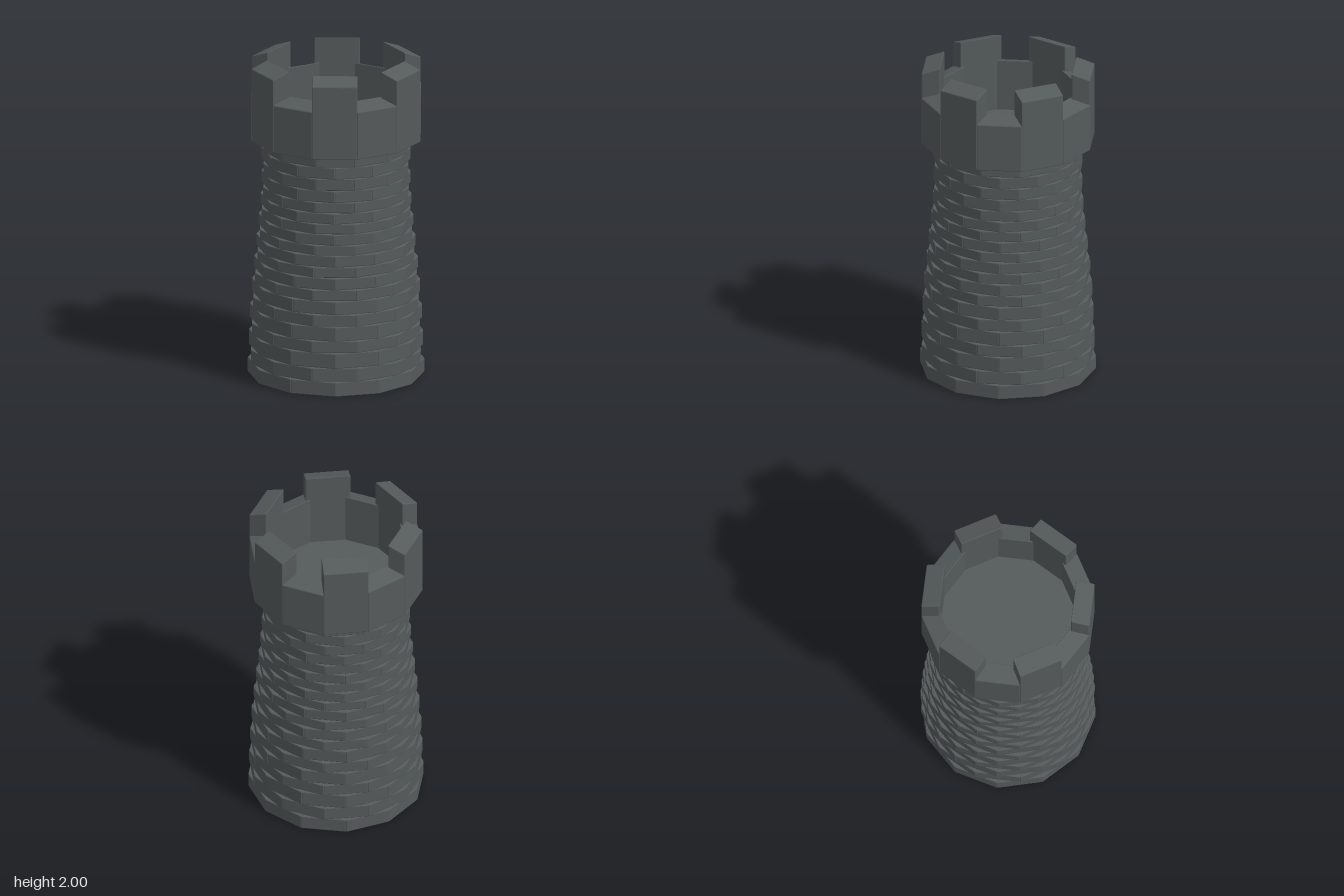
import * as THREE from 'three';
import { RoundedBoxGeometry } from 'three/addons/geometries/RoundedBoxGeometry.js';

const SIDES = 12;
const STEP = (Math.PI * 2) / SIDES;

const stone = new THREE.MeshStandardMaterial({ color: 0x555a5a });
stone.name = 'stone';

// chamfered block as wide as one side of the ring; its top may drop towards the outside
function blockGeometry(radius, depth, bottom, top, chamfer, drop = 0) {
  const width = 2 * radius * Math.sin(STEP / 2);
  const height = top - bottom;
  const geometry = new RoundedBoxGeometry(width, height, depth, 1, chamfer);
  const p = geometry.attributes.position;
  for (let i = 0; i < p.count; i++) {
    if (p.getY(i) > 0) p.setY(i, p.getY(i) - drop * (p.getZ(i) / depth + 0.5));
  }
  // stand the block on its base, outer face on the side of the ring
  geometry.translate(0, bottom + height / 2, radius * Math.cos(STEP / 2) - depth / 2);
  geometry.computeVertexNormals();
  return geometry;
}

function placeBlock(group, geometry, angle, name) {
  const block = new THREE.Mesh(geometry, stone);
  block.name = name;
  block.rotation.y = angle;
  group.add(block);
}

export function createModel() {
  const model = new THREE.Group();
  model.name = 'tower';

  // tapering wall: courses of brick, every other one turned by half a brick
  const levels = [0.005, 0.09, 0.175, 0.27, 0.345, 0.435, 0.51, 0.594, 0.663, 0.737, 0.803,
    0.875, 0.937, 1.006, 1.07, 1.137, 1.204, 1.279, 1.353, 1.427, 1.5];
  levels[0] = 0;
  const radii = [0.538, 0.534, 0.531, 0.528, 0.524, 0.52, 0.513, 0.507, 0.5, 0.492, 0.486,
    0.478, 0.472, 0.466, 0.461, 0.457, 0.455, 0.455, 0.455, 0.455];
  radii.forEach((radius, row) => {
    const course = new THREE.Group();
    course.name = 'brickCourse' + (row + 1);
    const geometry = blockGeometry(radius, 0.115, levels[row], levels[row + 1], 0.005);
    for (let i = 0; i < SIDES; i++) {
      placeBlock(course, geometry, (i + (row % 2) / 2) * STEP, 'brick');
    }
    model.add(course);
  });

  // crown: tall and low blocks in turn, with tops sloping outwards
  const crown = new THREE.Group();
  crown.name = 'battlements';
  const merlon = blockGeometry(0.533, 0.112, 1.5, 2, 0.005, 0.04);
  const crenel = blockGeometry(0.533, 0.112, 1.5, 1.84, 0.005, 0.04);
  for (let i = 0; i < SIDES; i++) {
    const tall = i % 2 === 0;
    placeBlock(crown, tall ? merlon : crenel, (i + 0.5) * STEP, tall ? 'merlon' : 'crenel');
  }
  model.add(crown);

  // floor inside the crown
  const floor = new THREE.Mesh(new THREE.CylinderGeometry(0.42, 0.42, 0.02, SIDES), stone);
  floor.name = 'floor';
  floor.position.y = 1.505;
  model.add(floor);

  return model;
}
